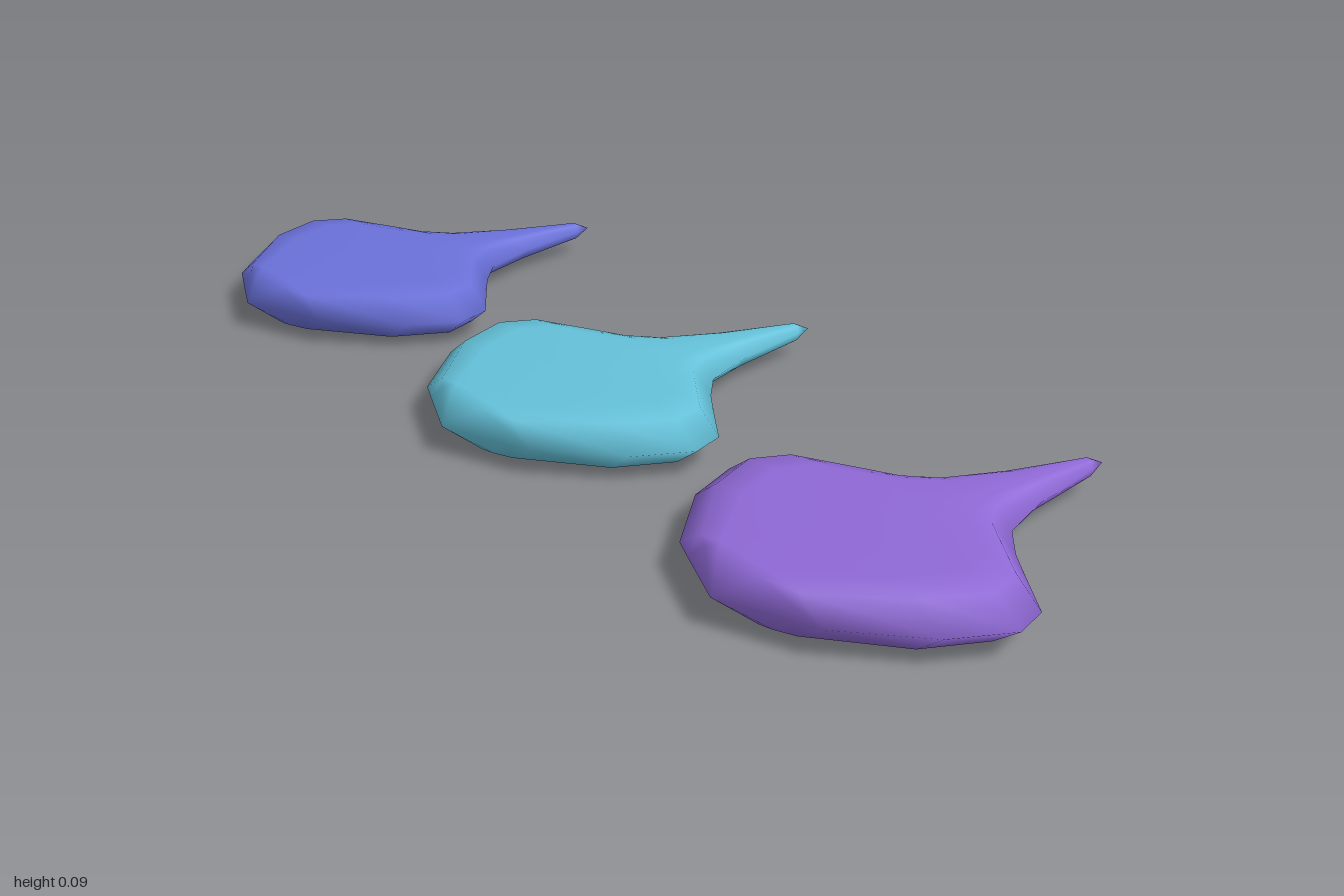
import * as THREE from 'three';
import { mergeVertices } from 'three/addons/utils/BufferGeometryUtils.js';

// Cross-sections from the tail tip to the rounded front: [z, half width, half height]
const SECTIONS = [
  [-0.372, 0, 0], [-0.342, 0.01, 0.015], [-0.2, 0.045, 0.025], [-0.095, 0.09, 0.032],
  [-0.048, 0.145, 0.035], [-0.015, 0.195, 0.038], [0.043, 0.285, 0.042], [0.103, 0.308, 0.043],
  [0.198, 0.265, 0.044], [0.308, 0.155, 0.038], [0.325, 0.115, 0.036], [0.372, 0, 0],
];

// One flat cushion-shaped ring: sharp rim, bevel, then a nearly flat face
function ring(w, h) {
  const bevel = w - Math.min(0.05, w * 0.35);
  const face = w - Math.min(0.11, w * 0.6);
  const top = [[bevel, h * 0.84], [face, h * 0.98], [0, h], [-face, h * 0.98], [-bevel, h * 0.84]];
  const bottom = top.map(([x, y]) => [-x, -y]);
  return [[w, 0], ...top, [-w, 0], ...bottom];
}

function dropGeometry() {
  const positions = [], index = [];
  let n = 0;
  SECTIONS.forEach(([z, w, h], i) => {
    const points = ring(w, h);
    n = points.length;
    points.forEach(([x, y], j) => {
      positions.push(x, y, z);
      if (i === SECTIONS.length - 1) return;
      const a = i * n + j, b = i * n + (j + 1) % n;
      if (i > 0) index.push(a, b, b + n);
      if (i < SECTIONS.length - 2) index.push(a, b + n, a + n);
      // Triangle fans close the two pointed ends
      if (i === 0) index.push(a, b + n, a + n);
    });
  });
  const geometry = new THREE.BufferGeometry();
  geometry.setAttribute('position', new THREE.Float32BufferAttribute(positions, 3));
  geometry.setIndex(index);
  const merged = mergeVertices(geometry, 1e-5);
  merged.computeVertexNormals();
  return merged;
}

export function createModel() {
  const model = new THREE.Group();
  model.name = 'threeDrops';
  const geometry = dropGeometry();

  // Three identical drops side by side
  const drops = [
    ['blueDrop', -0.692, 0x6a71d9],
    ['tealDrop', -0.005, 0x64c1d9],
    ['purpleDrop', 0.69, 0x8f69d6],
  ];
  for (const [name, x, color] of drops) {
    const drop = new THREE.Mesh(geometry, new THREE.MeshStandardMaterial({ color }));
    drop.name = name;
    drop.position.set(x, 0.044, 0);
    model.add(drop);
  }
  return model;
}
